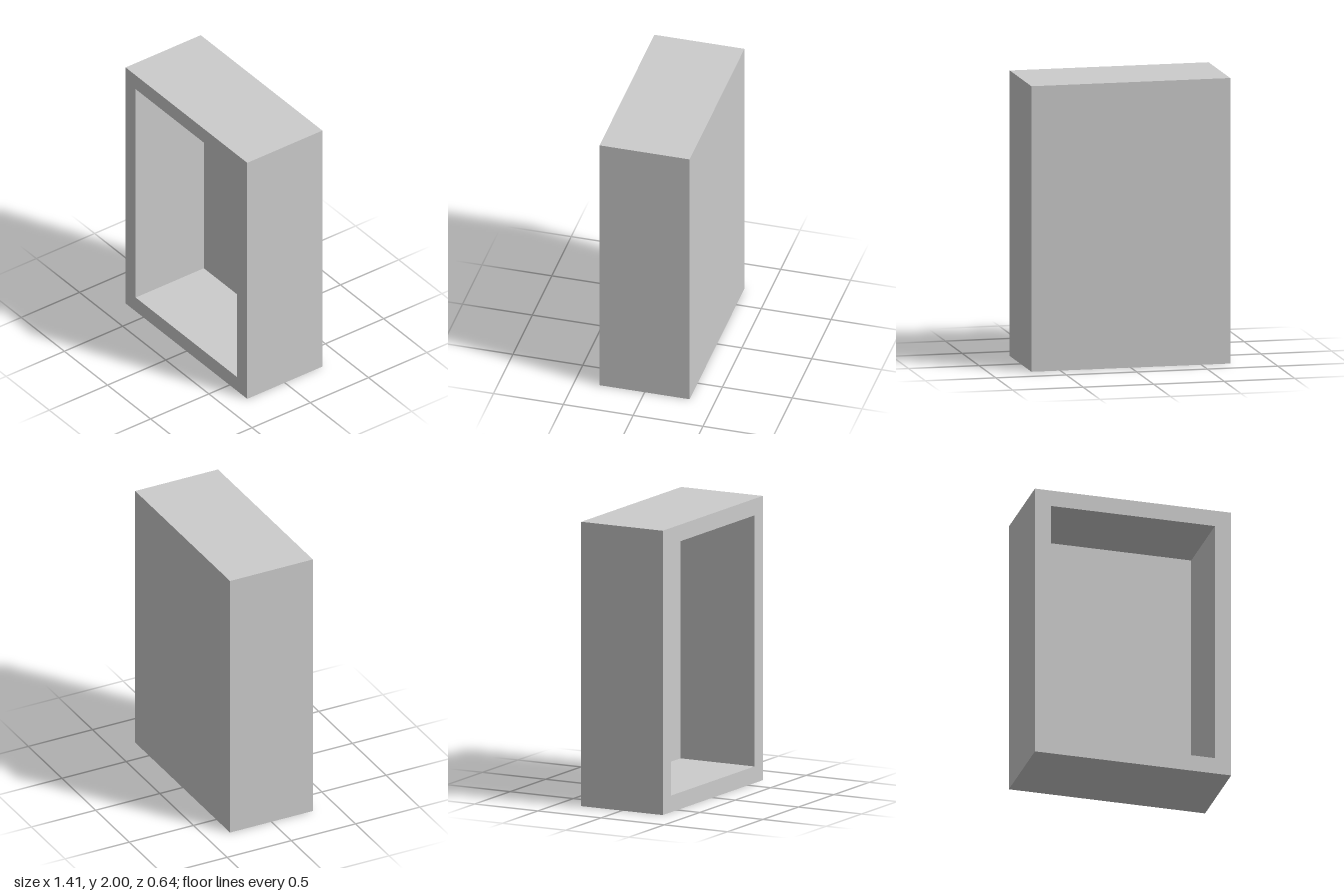
import * as THREE from 'three';

const W = 1.41, H = 2, D = 0.645; // outer size
const WALL = 0.117;               // frame width around the opening
const BACK = 0.06;                // back panel thickness

// Rectangle corners, counter-clockwise seen from the front
function ring(inset, z) {
  const x = W / 2 - inset, y0 = inset, y1 = H - inset;
  return [[-x, y0, z], [x, y0, z], [x, y1, z], [-x, y1, z]];
}

export function createModel() {
  const group = new THREE.Group();
  group.name = 'openCase';

  const outerBack = ring(0, -D / 2);
  const outerFront = ring(0, D / 2);
  const innerFront = ring(WALL, D / 2);
  const innerBack = ring(WALL, -D / 2 + BACK);

  const addPart = (name, quads) => {
    const points = quads.flatMap(([a, b, c, d]) => [a, b, c, a, c, d]);
    const geometry = new THREE.BufferGeometry();
    geometry.setAttribute('position', new THREE.Float32BufferAttribute(points.flat(), 3));
    geometry.computeVertexNormals();
    const mesh = new THREE.Mesh(geometry, new THREE.MeshStandardMaterial({ color: 0xcccccc }));
    mesh.name = name;
    group.add(mesh);
  };

  // Four quads joining one ring to the next
  const band = (a, b) => a.map((p, i) => {
    const j = (i + 1) % 4;
    return [p, a[j], b[j], b[i]];
  });

  addPart('outerWalls', band(outerBack, outerFront));
  addPart('frontRim', band(outerFront, innerFront));
  addPart('recessWalls', band(innerFront, innerBack));
  // Inside and outside faces of the back
  addPart('backPanel', [innerBack, [...outerBack].reverse()]);

  return group;
}
